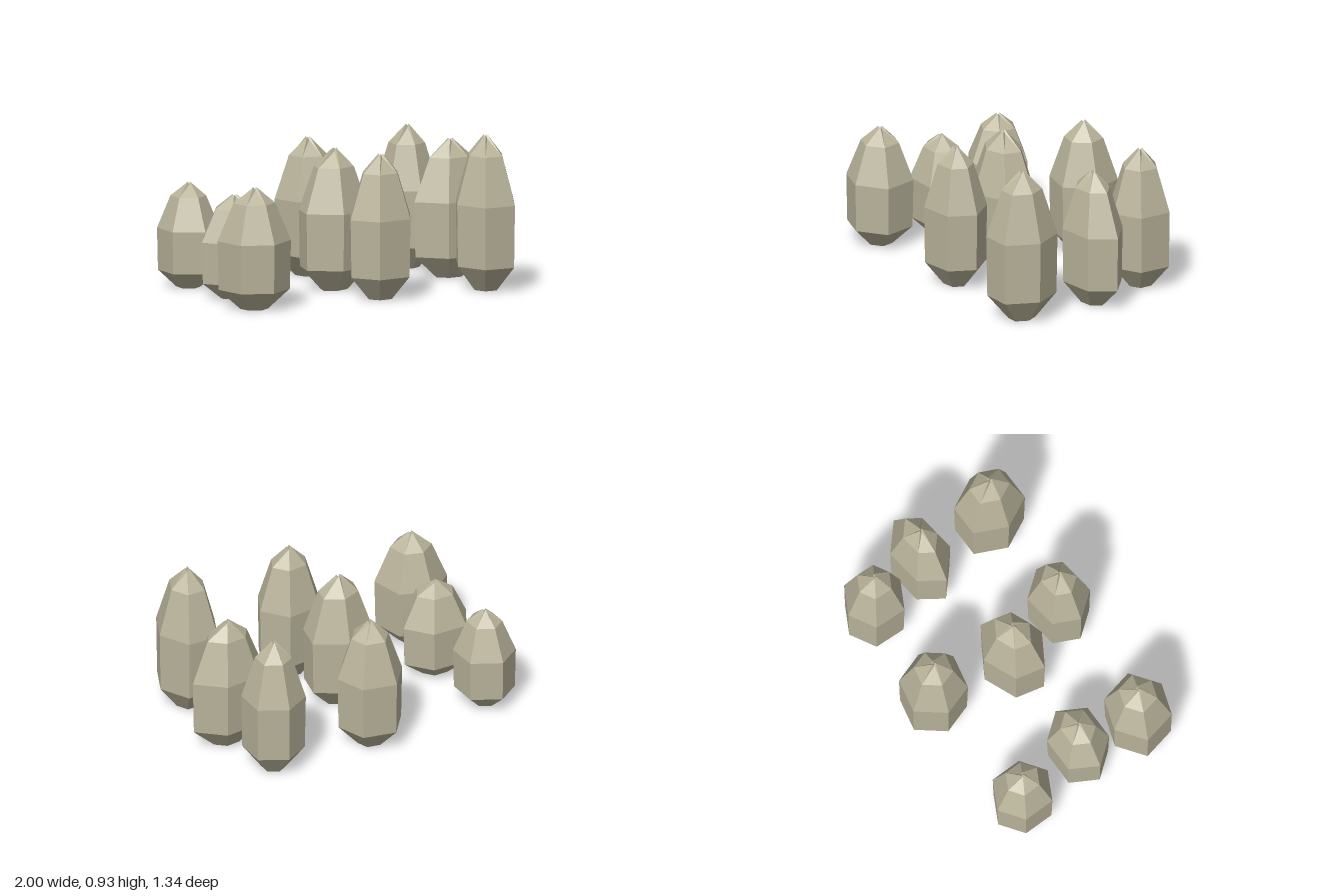
import * as THREE from 'three';

// Each crystal: height, centre [x, z], and three half-diagonals [x, z] of its six-sided outline
const crystals = [
  [0.63, [-0.78, -0.445], [[-0.01, -0.195], [0.16, -0.1], [0.16, 0.095]]],
  [0.83, [0.04, -0.48], [[-0.065, -0.2], [0.14, -0.15], [0.2, 0.04]]],
  [0.86, [0.68, -0.43], [[0.005, -0.19], [0.17, -0.095], [0.16, 0.105]]],
  [0.62, [-0.72, 0.015], [[-0.12, -0.163], [0.1, -0.155], [0.217, 0]]],
  [0.85, [-0.06, 0.035], [[0.035, -0.19], [0.222, -0.07], [0.177, 0.11]]],
  [0.83, [0.755, -0.03], [[-0.14, -0.135], [0.09, -0.155], [0.245, -0.01]]],
  [0.73, [-0.795, 0.405], [[-0.03, -0.2], [0.16, -0.13], [0.203, 0.082]]],
  [0.87, [0.03, 0.447], [[-0.125, -0.145], [0.09, -0.165], [0.205, -0.01]]],
  [0.93, [0.727, 0.465], [[-0.095, -0.193], [0.1, -0.188], [0.19, 0]]],
];

// Rings from foot to tip: [height fraction, outline scale]
const profile = [[0, 0.38], [0.16, 0.97], [0.56, 1], [0.87, 0.57], [1, 0.06]];

function crystalGeometry(height, halves) {
  const outline = [...halves, ...halves.map(([x, z]) => [-x, -z])];
  const top = profile.length - 1;
  const point = (ring, i) => {
    const [x, z] = outline[i % 6];
    const [y, s] = profile[ring];
    const chip = ring === top && i % 2 ? 0.025 : 0; // slightly jagged tip
    return [x * s, (y - chip) * height, z * s];
  };
  const positions = [];
  const tri = (a, b, c) => positions.push(...a, ...b, ...c);

  for (let i = 0; i < 6; i++) {
    for (let r = 0; r < top; r++) {
      const l0 = point(r, i), l1 = point(r, i + 1);
      const u0 = point(r + 1, i), u1 = point(r + 1, i + 1);
      tri(l1, l0, u0);
      tri(l1, u0, u1);
    }
    // Flat foot and chipped tip
    tri([0, 0, 0], point(0, i), point(0, i + 1));
    tri([0, height * 0.985, 0], point(top, i + 1), point(top, i));
  }
  const geometry = new THREE.BufferGeometry();
  geometry.setAttribute('position', new THREE.Float32BufferAttribute(positions, 3));
  geometry.computeVertexNormals();
  return geometry;
}

export function createModel() {
  const group = new THREE.Group();
  group.name = 'crystalField';
  const stone = new THREE.MeshStandardMaterial({ color: 0xb9b39a, flatShading: true });
  stone.name = 'paleStone';

  crystals.forEach(([height, [x, z], halves], i) => {
    const mesh = new THREE.Mesh(crystalGeometry(height, halves), stone);
    mesh.name = `crystal${i + 1}`;
    mesh.position.set(x, 0, z);
    group.add(mesh);
  });
  return group;
}
